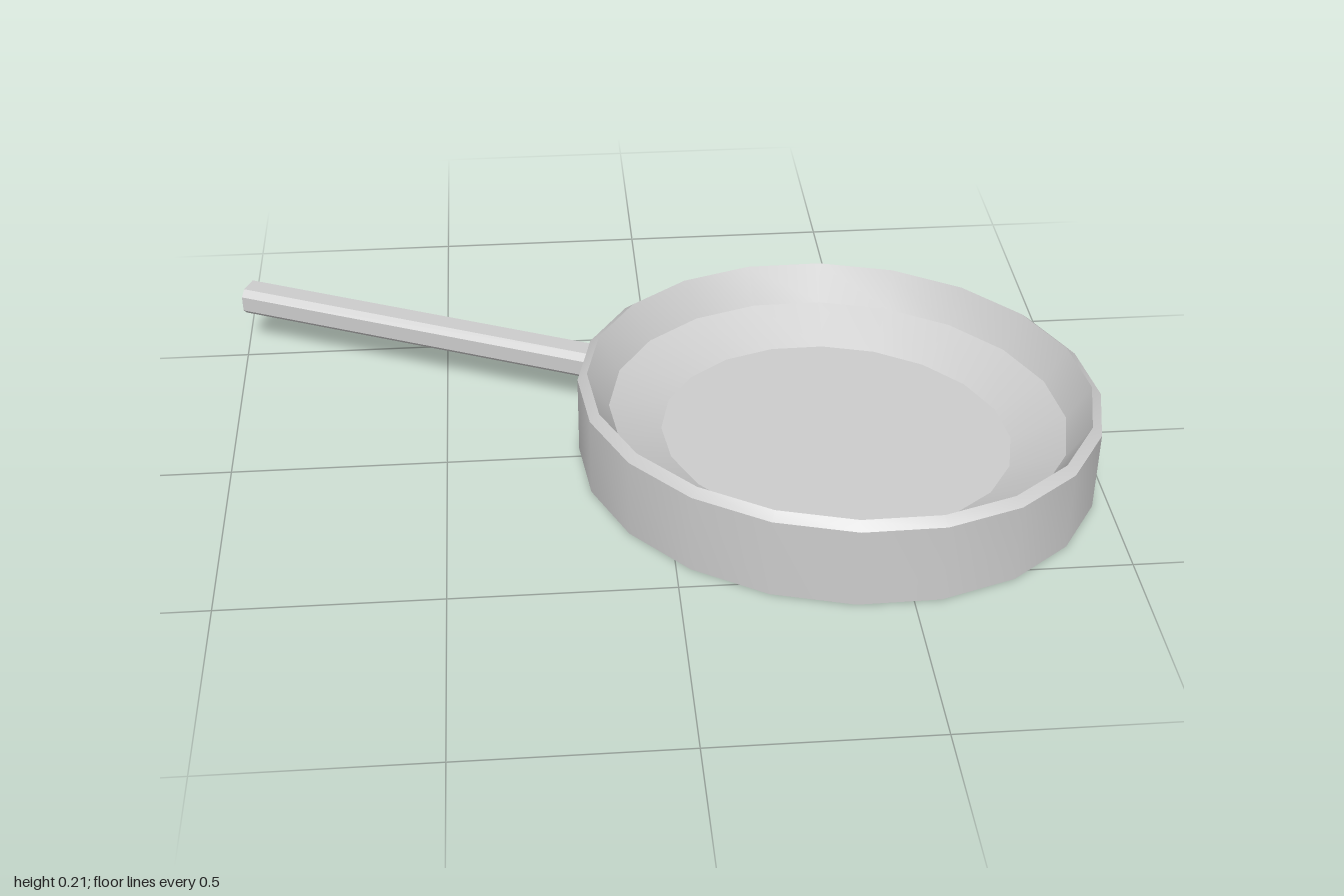
import * as THREE from 'three';
import { toCreasedNormals } from 'three/addons/utils/BufferGeometryUtils.js';

export function createModel() {
  const material = new THREE.MeshStandardMaterial({ color: 0xcccccc });
  const pan = new THREE.Group();
  pan.name = 'fryingPan';

  // Pan body: closed profile (relative radius, height), stretched along the handle axis
  const profile = [
    [0, 0], [1, 0], [1, 0.195], [0.963, 0.213], // underside, wall, rim chamfer
    [0.88, 0.127], [0.677, 0.067], [0, 0.067],  // inner wall, sloped bowl, floor
  ].map(([r, y]) => new THREE.Vector2(r, y));
  const bodyGeometry = new THREE.LatheGeometry(profile, 20);
  bodyGeometry.scale(0.606, 1, 0.537);
  const body = new THREE.Mesh(toCreasedNormals(bodyGeometry, 0.42), material);
  body.name = 'panBody';
  pan.add(body);

  // Handle: a bar with chamfered edges, starting inside the wall
  const w = 0.0375, h = 0.034, c = 0.015;
  const section = new THREE.Shape([
    [w, -h + c], [w, h - c], [w - c, h], [-w + c, h],
    [-w, h - c], [-w, -h + c], [-w + c, -h], [w - c, -h],
  ].map(([x, y]) => new THREE.Vector2(x, y)));
  const start = 0.575, end = 1.514;
  const handleGeometry = new THREE.ExtrudeGeometry(section, { depth: end - start, bevelEnabled: false });
  const handle = new THREE.Mesh(handleGeometry, material);
  handle.name = 'handle';
  handle.rotation.y = -Math.PI / 2;
  handle.position.set(-start, 0.138, 0);
  pan.add(handle);

  // Turn the pan so the handle points back and to the side
  pan.rotation.y = -THREE.MathUtils.degToRad(23.3);
  pan.position.set(0.405, 0, 0.045);

  const model = new THREE.Group();
  model.name = 'model';
  model.add(pan);
  return model;
}
